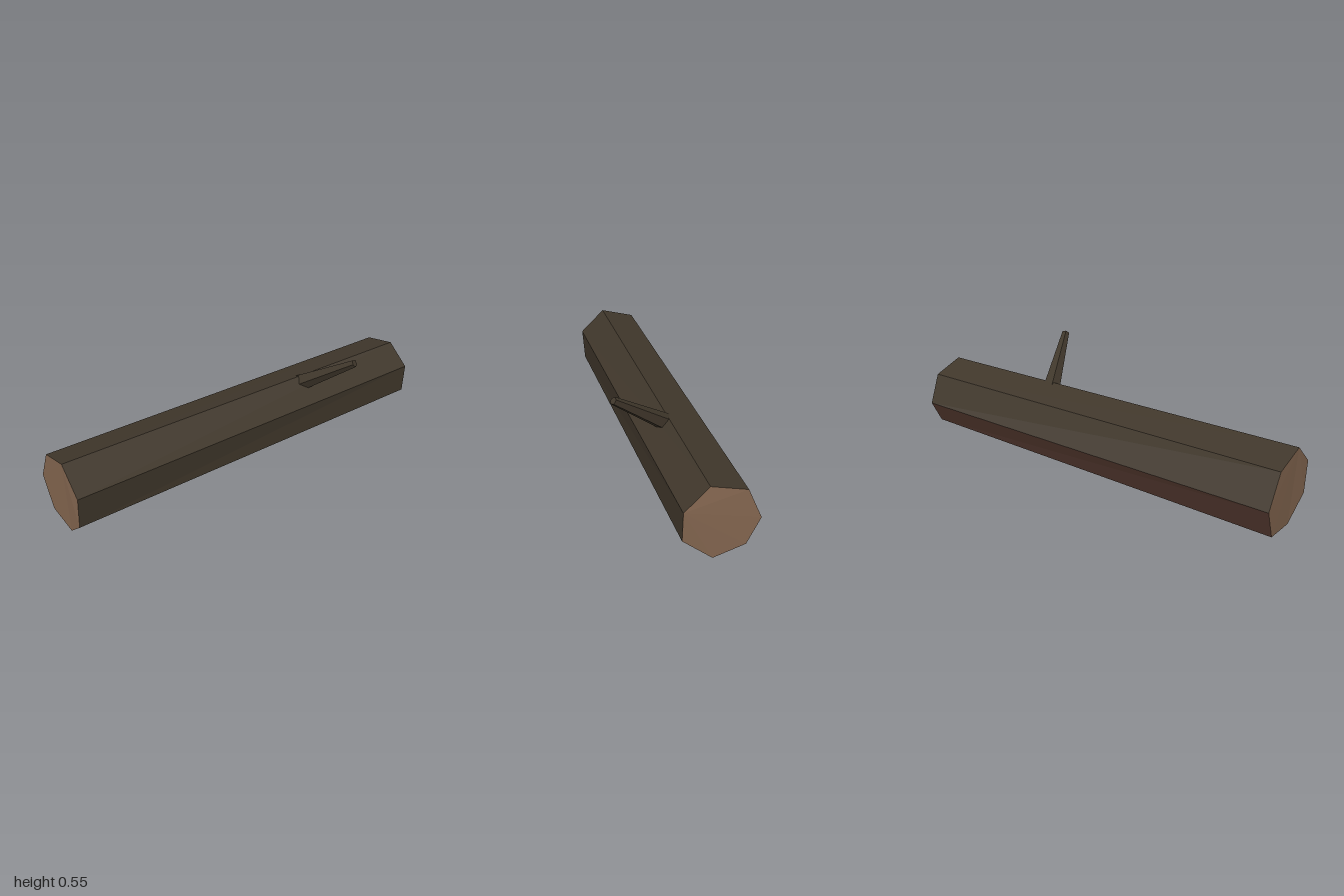
import * as THREE from 'three';

const paint = (name, color) => {
  const m = new THREE.MeshStandardMaterial({ color });
  m.name = name;
  return m;
};

// Cross-sections of the log as [x, y, z], clockwise seen from +x
const thickEnd = [
  [-1, 0.393, -0.015], [-0.995, 0.348, -0.187], [-0.99, 0.185, -0.272], [-0.985, 0.025, -0.205],
  [-0.985, 0.002, -0.03], [-1, 0.11, 0.097], [-1, 0.273, 0.11],
];
const thinEnd = [
  [0.99, 0.37, -0.015], [0.99, 0.33, -0.182], [0.99, 0.185, -0.245], [0.99, 0.063, -0.182],
  [0.99, 0.018, -0.035], [0.99, 0.125, 0.1], [1, 0.268, 0.1],
];

// Flat-faced mesh from convex polygons, each fanned into triangles
function facesMesh(name, polygons, material) {
  const pos = [];
  for (const p of polygons)
    for (let i = 1; i < p.length - 1; i++) pos.push(...p[0], ...p[i], ...p[i + 1]);
  const geo = new THREE.BufferGeometry();
  geo.setAttribute('position', new THREE.Float32BufferAttribute(pos, 3));
  geo.computeVertexNormals();
  const mesh = new THREE.Mesh(geo, material);
  mesh.name = name;
  return mesh;
}

export function createModel() {
  const bark = paint('darkBark', 0x40372b);
  const redBark = paint('reddishBark', 0x54392f);
  const wood = paint('cutWood', 0x866851);
  const group = new THREE.Group();
  group.name = 'fallenLog';

  // Long sides of the trunk; the lower back one is bare reddish bark
  const sides = thickEnd.map((a, i) => {
    const j = (i + 1) % thickEnd.length;
    return [a, thinEnd[i], thinEnd[j], thickEnd[j]];
  });
  group.add(facesMesh('trunkBark', sides.filter((_, i) => i !== 2), bark));
  group.add(facesMesh('trunkReddishStrip', [sides[2]], redBark));

  // Sawn ends
  group.add(facesMesh('thickCutEnd', [thickEnd], wood));
  group.add(facesMesh('thinCutEnd', [[...thinEnd].reverse()], wood));

  // Tapered branch stub growing up and forwards
  const base = new THREE.Vector3(0.352, 0.328, -0.03);
  const tip = new THREE.Vector3(0.463, 0.537, 0.261);
  const axis = tip.clone().sub(base);
  const geo = new THREE.CylinderGeometry(0.019, 0.045, axis.length(), 5).toNonIndexed();
  geo.computeVertexNormals();
  const branch = new THREE.Mesh(geo, bark);
  branch.name = 'branch';
  branch.position.copy(base).lerp(tip, 0.5);
  branch.quaternion.setFromUnitVectors(new THREE.Vector3(0, 1, 0), axis.normalize());
  group.add(branch);

  return group;
}
